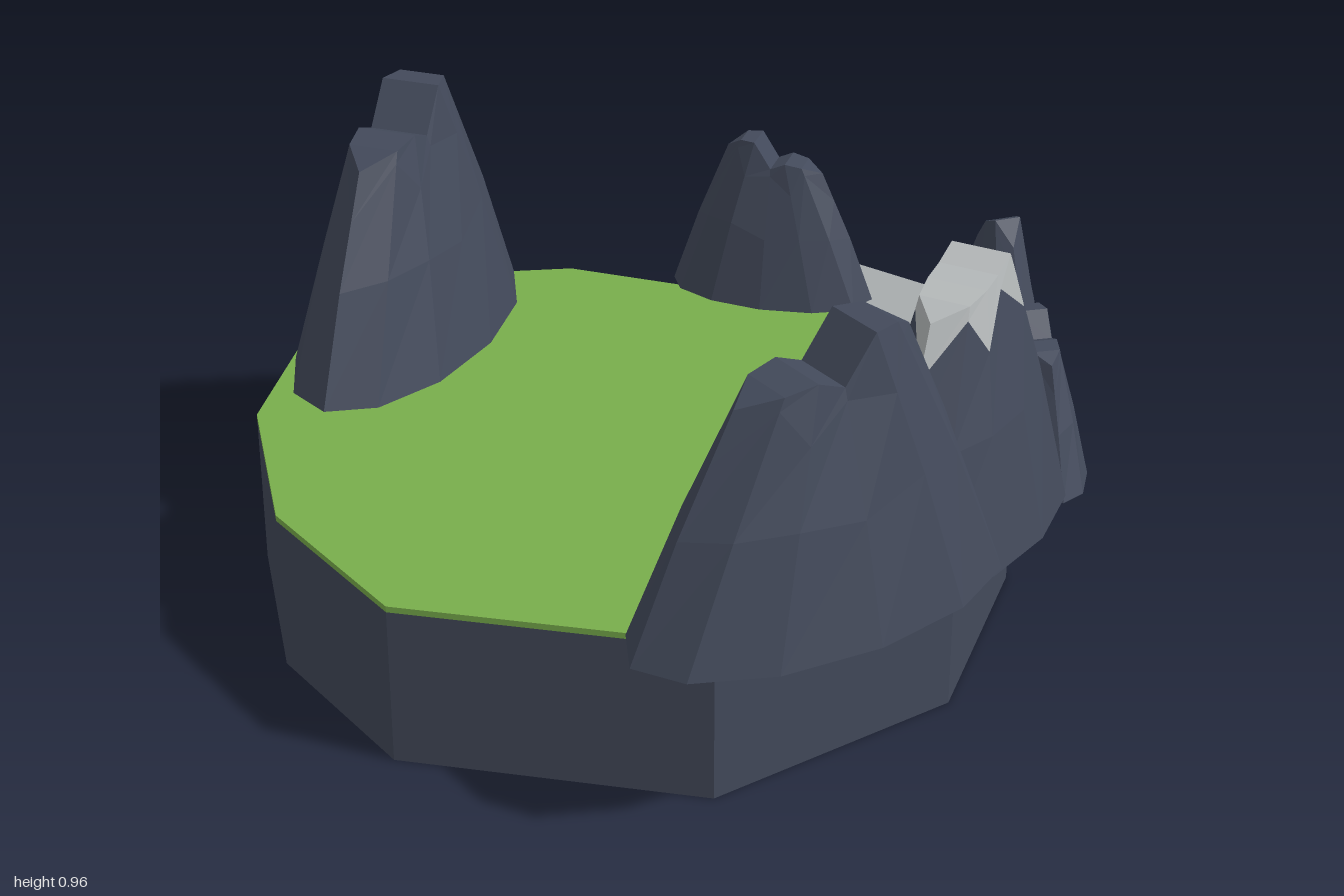
import * as THREE from 'three';

const mat = (name, color) => new THREE.MeshStandardMaterial({ name, color, flatShading: true, side: THREE.DoubleSide });

export function createModel() {
  const rock = mat('slate rock', 0x434a5b);
  const grass = mat('grass green', 0x79ae4c);
  const snow = mat('snow grey', 0xb6babb);
  const gravel = mat('gravel grey', 0xa8acad);
  const model = new THREE.Group();
  model.name = 'mountainIsland';

  const add = (name, geometry, material, x = 0, y = 0, z = 0) => {
    const mesh = new THREE.Mesh(geometry, material);
    mesh.name = name;
    mesh.position.set(x, y, z);
    model.add(mesh);
    return mesh;
  };

  // Flat shape lying in the ground plane, from [x, z] points
  const flat = (pts) => {
    const shape = new THREE.Shape(pts.map(([x, z]) => new THREE.Vector2(x, -z)));
    return new THREE.ShapeGeometry(shape).rotateX(-Math.PI / 2);
  };

  // Open band of wall following an outline
  const band = (pts, y0, y1) => {
    const pos = [];
    pts.forEach(([x, z], i) => {
      const [x2, z2] = pts[(i + 1) % pts.length];
      pos.push(x, y0, z, x2, y0, z2, x2, y1, z2, x, y0, z, x2, y1, z2, x, y1, z);
    });
    const g = new THREE.BufferGeometry();
    g.setAttribute('position', new THREE.Float32BufferAttribute(pos, 3));
    g.computeVertexNormals();
    return g;
  };

  // Island: hollow rock wall with a thin grass lid
  const outline = [[-0.9, 0.05], [-0.78, 0.47], [-0.23, 0.81], [0.34, 0.66], [0.67, 0.25],
    [0.66, -0.38], [0.04, -0.89], [-0.33, -0.98], [-0.64, -0.76], [-0.84, -0.4]];
  add('islandWall', band(outline, 0, 0.343), rock);
  add('grassRim', band(outline, 0.343, 0.356), grass);
  add('grassTop', flat(outline), grass, 0, 0.356, 0);

  // Mountain: 12-sided oval rings rising to a jagged ridge
  const N = 12;
  const ridgeU = [0.46, 0.3, 0.16, 0, -0.14, -0.3, -0.47];
  const ridgeV = [0, 0.26, 0.33, 0.33, 0.33, 0.28, 0];
  const twinPeaks = [0.93, 1, 1, 0.84, 0.88, 0.86, 0.81];
  const mountainGeometry = (L, W, H, heights) => {
    const base = [], top = [], mid = [], edge = [];
    for (let i = 0; i < N; i++) {
      const a = (i / N) * Math.PI * 2;
      const k = Math.min(i, N - i);
      const b = new THREE.Vector3(Math.cos(a) * L, 0, -Math.sin(a) * W);
      const t = new THREE.Vector3(ridgeU[k] * L, heights[k] * H, (i < 6 ? -1 : 1) * ridgeV[k] * W);
      const m = b.clone().lerp(t, 0.5);
      m.x *= 1.03;
      m.z *= 1.05;
      base.push(b);
      top.push(t);
      mid.push(m);
      edge.push(t.clone().lerp(m, i % 2 ? 0.1 : 0.42)); // zigzag snow line
    }
    const pos = [];
    const face = (...p) => {
      for (let i = 1; i < p.length - 1; i++) [p[0], p[i], p[i + 1]].forEach((v) => pos.push(v.x, v.y, v.z));
    };
    const skin = (lo, hi) => {
      for (let i = 0; i < N; i++) {
        const j = (i + 1) % N;
        face(lo[i], lo[j], hi[j], hi[i]);
      }
    };
    face(...[...base].reverse());
    skin(base, mid);
    skin(mid, edge);
    const split = pos.length / 3;
    skin(edge, top);
    face(top[0], top[1], top[11]);
    for (let k = 1; k < 5; k++) face(top[k], top[k + 1], top[N - k - 1], top[N - k]);
    face(top[5], top[6], top[7]);
    const g = new THREE.BufferGeometry();
    g.setAttribute('position', new THREE.Float32BufferAttribute(pos, 3));
    g.computeVertexNormals();
    g.addGroup(0, split, 0);
    g.addGroup(split, pos.length / 3 - split, 1);
    return g;
  };

  // name, x, y, z, heading in degrees, half length, half width, height, ridge heights, cap
  const mountains = [
    ['backMountain', -0.43, 0.38, -0.65, 50, 0.435, 0.205, 0.58, twinPeaks, rock],
    ['frontMountain', -0.005, 0.38, 0.77, 14, 0.43, 0.205, 0.58, twinPeaks, rock],
    ['snowyMountain', 0.4, 0.36, 0.53, 41, 0.37, 0.19, 0.575, [0.82, 0.92, 1, 0.96, 0.94, 0.92, 0.88], snow],
    ['smallBackMountain', 0.455, 0.356, -0.615, 143, 0.245, 0.12, 0.385, twinPeaks, rock],
    ['sideMountain', 0.775, 0.335, -0.11, -90, 0.22, 0.115, 0.39, [0.86, 1, 0.97, 0.85, 0.69, 0.68, 0.64], rock],
    ['lowSideMountain', 0.735, 0.275, 0.195, 82, 0.235, 0.108, 0.325, twinPeaks, rock],
  ];
  for (const [name, x, y, z, deg, L, W, H, heights, cap] of mountains) {
    const m = add(name, mountainGeometry(L, W, H, heights), [rock, cap], x, y, z);
    m.rotation.y = THREE.MathUtils.degToRad(deg);
  }

  // Rounded grass clearing
  const clearing = [];
  for (let i = 0; i <= 14; i++) {
    const a = 0.9 + (i / 14) * 4.1;
    clearing.push([0.49 + 0.15 * Math.cos(a), -0.15 + 0.15 * Math.sin(a)]);
  }
  clearing.push([0.68, -0.33], [0.68, -0.08]);
  add('grassClearing', flat(clearing), grass, 0, 0.359, 0);

  // Gravel path running off the island with a ragged inner end
  add('gravelPath', flat([[0.57, -0.62], [0.64, -0.66], [0.7, -0.66], [0.89, -0.36], [0.87, -0.31],
    [0.77, -0.18], [0.66, -0.17], [0.6, -0.19], [0.59, -0.24], [0.55, -0.23], [0.56, -0.27],
    [0.49, -0.26], [0.54, -0.31], [0.5, -0.34], [0.55, -0.38], [0.54, -0.46]]), gravel, 0, 0.362, 0);
  add('gravelPatch', flat([[0.47, -0.03], [0.5, -0.08], [0.54, -0.1], [0.55, -0.05], [0.51, -0.02]]),
    gravel, 0, 0.362, 0);

  // Flat stepping stones
  [[0.46, -0.2, 0.027], [0.44, -0.1, 0.024], [0.485, -0.165, 0.02], [0.445, -0.16, 0.02], [0.485, -0.105, 0.02]]
    .forEach(([x, z, r]) => add('steppingStone', new THREE.CylinderGeometry(r, r, 0.008, 10), gravel, x, 0.363, z));

  // Small boulder and scattered pebbles
  const boulder = add('boulder', new THREE.DodecahedronGeometry(0.035), gravel, 0.57, 0.38, -0.12);
  boulder.scale.set(0.9, 1.1, 1.3);
  boulder.rotation.set(0.3, -0.6, 0.4);
  for (let i = 0; i < 9; i++) {
    add('pebble', new THREE.TetrahedronGeometry(0.009), gravel,
      0.53 + 0.05 * ((i * 0.618) % 1), 0.365, -0.25 + i * 0.016);
  }
  return model;
}
